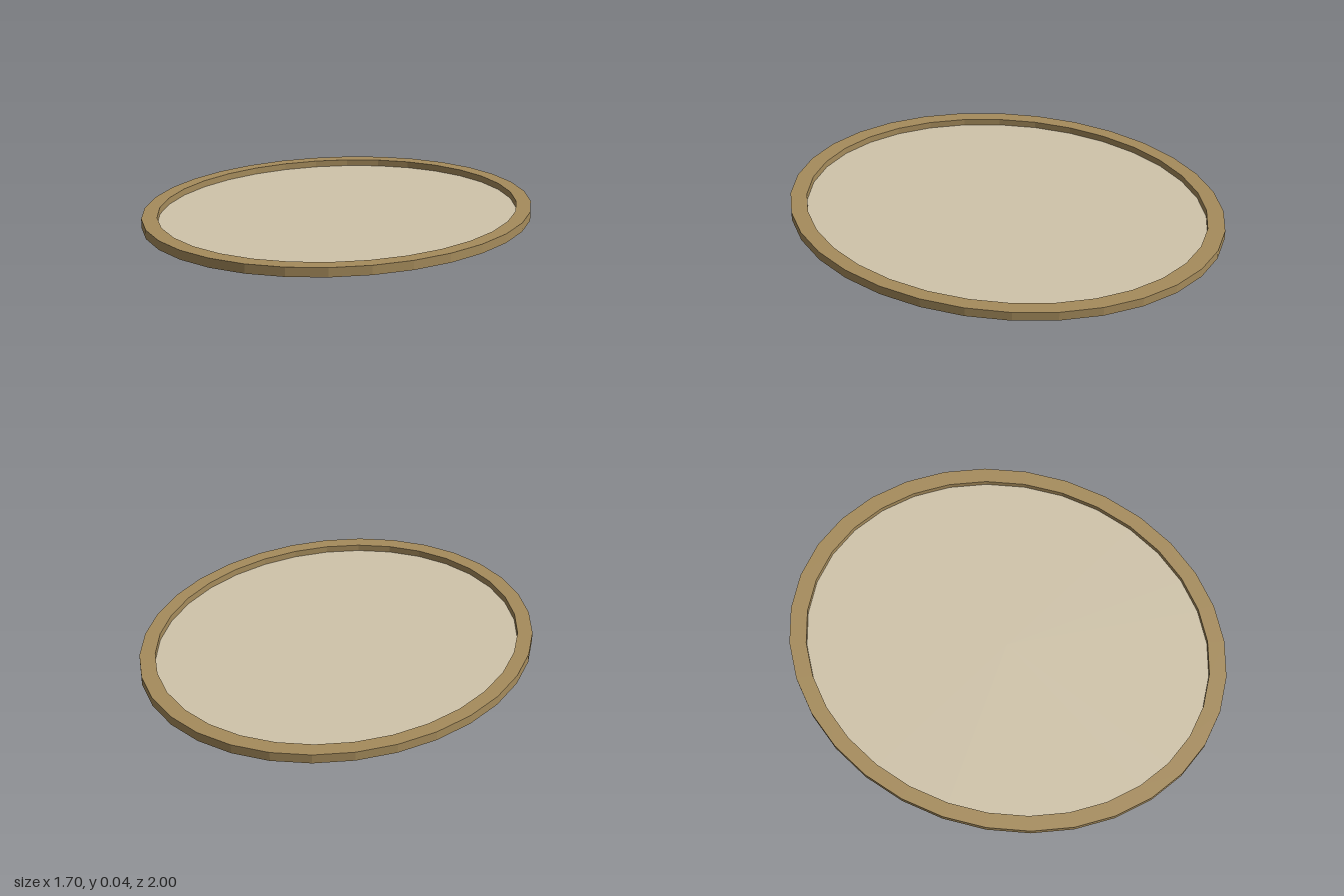
import * as THREE from 'three';

const SIDES = 32;
const WIDTH_RATIO = 0.85; // oval: x radius relative to z radius
const HEIGHT = 0.04;
const INNER = 0.923;
const FLOOR = 0.01;

function createMesh(name, geometry, color) {
  const material = new THREE.MeshStandardMaterial({ color, flatShading: true });
  const mesh = new THREE.Mesh(geometry, material);
  mesh.name = name;
  return mesh;
}

export function createModel() {
  const model = new THREE.Group();
  model.name = 'ovalTray';

  // Rim with closed underside: centre, outer wall, top band, inner wall
  const profile = [
    [0, 0], [1, 0], [1, HEIGHT], [INNER, HEIGHT], [INNER, FLOOR],
  ].map(([r, y]) => new THREE.Vector2(r, y));
  const rim = new THREE.LatheGeometry(profile, SIDES);
  rim.scale(WIDTH_RATIO, 1, 1);
  model.add(createMesh('rim', rim, 0xa68c5c));

  // Pale panel recessed inside the rim
  const panel = new THREE.CircleGeometry(INNER, SIDES);
  panel.rotateX(-Math.PI / 2);
  panel.scale(WIDTH_RATIO, 1, 1);
  panel.translate(0, FLOOR, 0);
  model.add(createMesh('panel', panel, 0xd0c4aa));

  return model;
}
